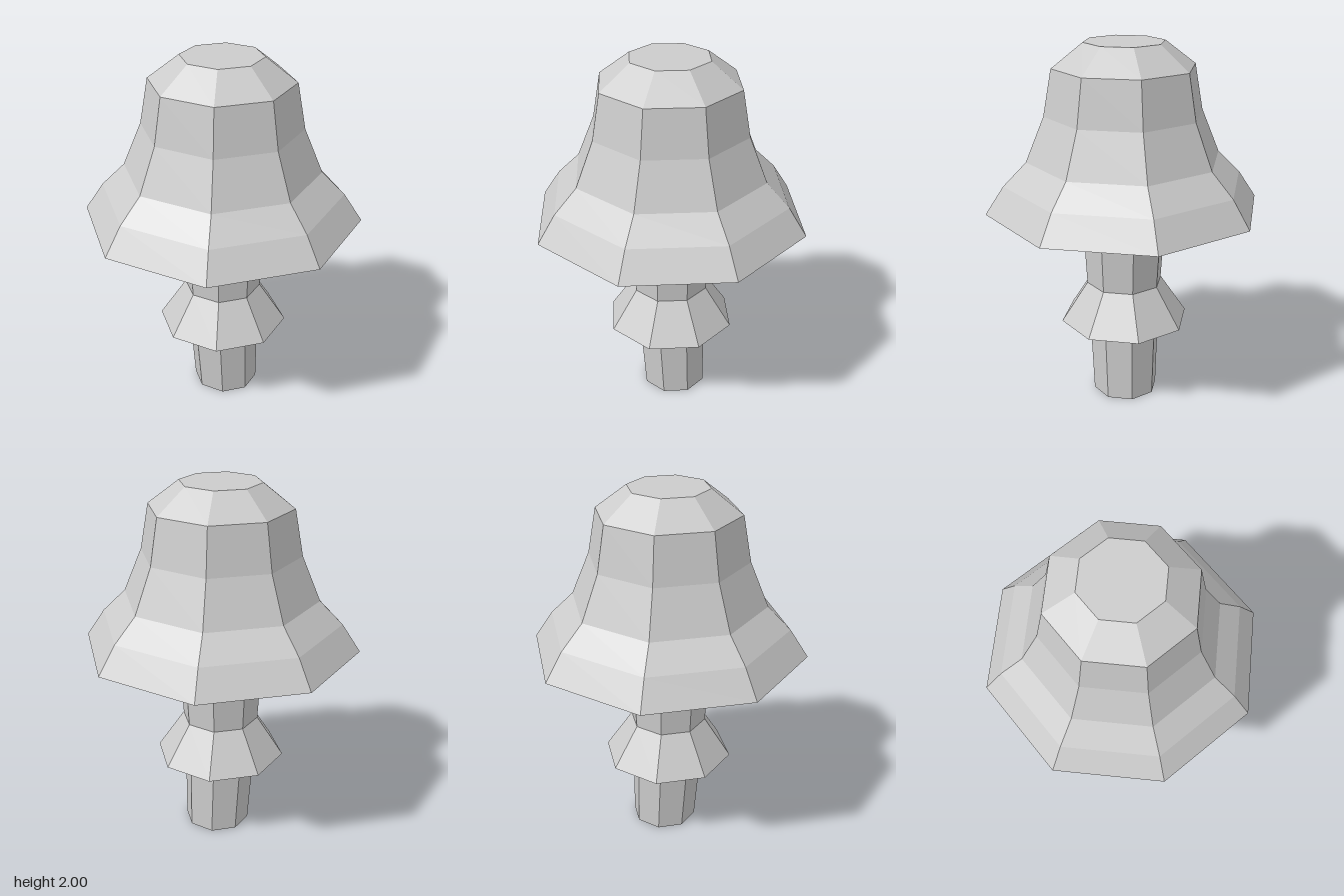
import * as THREE from 'three';

const SIDES = 8;

export function createModel() {
  const group = new THREE.Group();
  group.name = 'mushroom';

  const grey = new THREE.MeshStandardMaterial({
    color: 0xcccccc, flatShading: true, side: THREE.DoubleSide,
  });
  grey.name = 'plain grey';

  // Eight-sided turned part from [radius, height, sideways shift] rings, bottom to top
  function turned(name, rings) {
    const profile = rings.map(([r, y]) => new THREE.Vector2(r, y));
    const geometry = new THREE.LatheGeometry(profile, SIDES);
    const pos = geometry.attributes.position;
    for (let i = 0; i < pos.count; i++) {
      pos.setX(i, pos.getX(i) + (rings[i % rings.length][2] ?? 0));
    }
    geometry.computeVertexNormals();
    const mesh = new THREE.Mesh(geometry, grey);
    mesh.name = name;
    group.add(mesh);
  }

  // Slightly leaning foot, open at the bottom
  turned('lowerStem', [[0.182, 0, 0.027], [0.199, 0.44, 0.008], [0.208, 0.664, 0.003]]);

  // Flared ring, open underneath
  turned('skirt', [[0.36, 0.44, 0.004], [0.212, 0.664, 0.003]]);

  turned('upperStem', [[0.212, 0.664, 0.003], [0.235, 1.07, 0.003]]);

  // Bell-shaped cap with a shallow underside and flat crown
  turned('cap', [
    [0.235, 1.07, 0.003], [0.755, 1.11], [0.655, 1.26], [0.53, 1.385],
    [0.43, 1.625], [0.385, 1.872], [0.218, 2], [0, 2],
  ]);

  return group;
}
